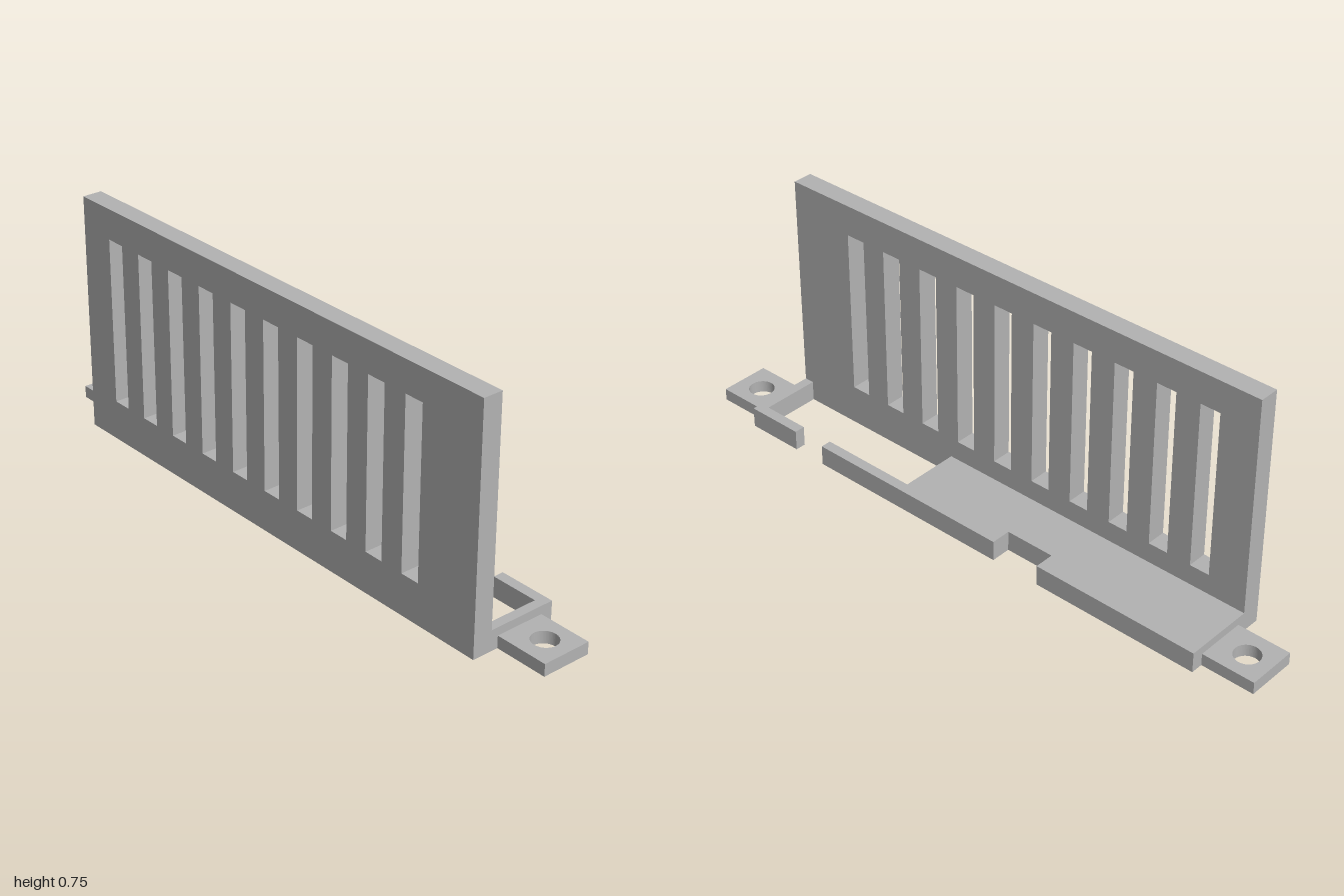
import * as THREE from 'three';

const HALF = 0.832;          // half width of the plate and base
const PLATE_BACK = 0.078;    // z where plate and base meet
const DEPTH = 0.14;          // half of the overall depth

const rectPath = (P, x0, y0, x1, y1) =>
  new P([[x0, y0], [x1, y0], [x1, y1], [x0, y1]].map(([x, y]) => new THREE.Vector2(x, y)));

// Extrudes a floor plan (shape y = -z) upwards from y = 0
function extrudeUp(shape, height) {
  const geo = new THREE.ExtrudeGeometry(shape, { depth: height, bevelEnabled: false, curveSegments: 32 });
  return geo.rotateX(-Math.PI / 2);
}

const plan = (points) => new THREE.Shape(points.map(([x, z]) => new THREE.Vector2(x, -z)));

export function createModel() {
  const group = new THREE.Group();
  const grey = new THREE.MeshStandardMaterial({ color: 0xb2b2b2 });
  grey.name = 'grey';

  const add = (name, geo) => {
    const mesh = new THREE.Mesh(geo, grey);
    mesh.name = name;
    group.add(mesh);
    return mesh;
  };

  // Upright plate with ten vent slots
  const plate = rectPath(THREE.Shape, -HALF, 0, HALF, 0.747);
  for (let i = 0; i < 10; i++) {
    const x = -0.71 + i * 0.1408;
    plate.holes.push(rectPath(THREE.Path, x, 0.127, x + 0.063, 0.651));
  }
  add('ventPlate', new THREE.ExtrudeGeometry(plate, { depth: DEPTH - PLATE_BACK, bevelEnabled: false }))
    .position.z = PLATE_BACK;

  // Base slab with a rear notch and a thin rear rail
  add('baseSlab', extrudeUp(plan([
    [-HALF, PLATE_BACK], [0.225, PLATE_BACK], [0.225, -0.107], [0.54, -0.107], [0.54, -DEPTH],
    [-0.136, -DEPTH], [-0.136, -0.078], [-0.294, -0.078], [-0.294, -DEPTH], [-HALF, -DEPTH],
  ]), 0.0635));

  // Hooked end wall closing the opening
  add('endWall', extrudeUp(plan([
    [0.802, PLATE_BACK], [HALF, PLATE_BACK], [HALF, -DEPTH],
    [0.65, -DEPTH], [0.65, -0.107], [0.802, -0.107],
  ]), 0.0635));

  // Mounting tabs with screw holes
  for (const [name, side] of [['leftTab', 1], ['rightTab', -1]]) {
    const tab = plan([[side * HALF, 0.055], [side, 0.055], [side, -0.102], [side * HALF, -0.102]]);
    tab.holes.push(new THREE.Path().absarc(side * 0.921, 0.025, 0.039, 0, Math.PI * 2));
    add(name, extrudeUp(tab, 0.038));
  }

  return group;
}
